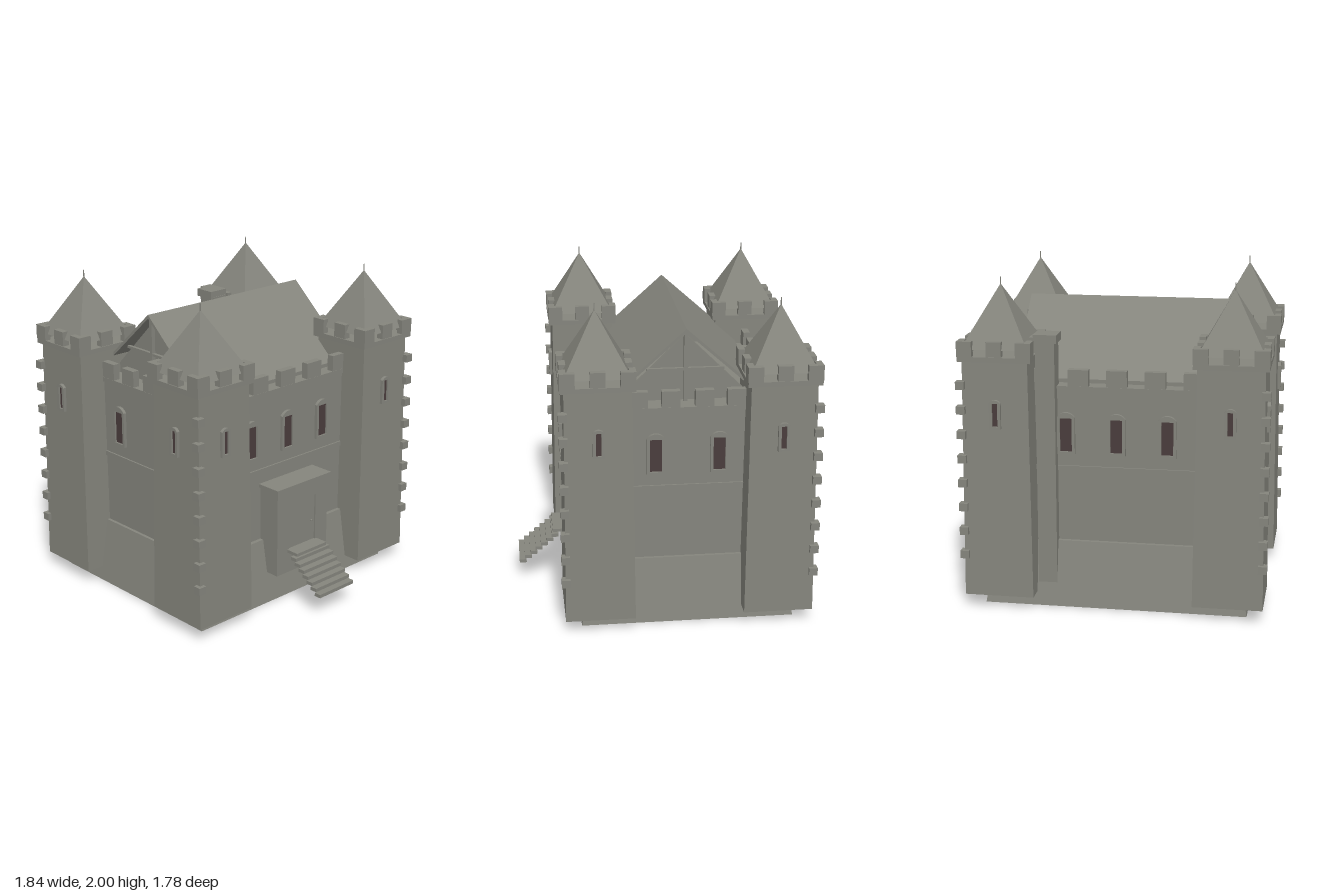
import * as THREE from 'three';

export function createModel() {
  const castle = new THREE.Group();
  castle.name = 'castle';
  const stone = new THREE.MeshStandardMaterial({ color: 0x85857d, flatShading: true });
  stone.name = 'stone';
  const glass = new THREE.MeshStandardMaterial({ color: 0x4a3d3d });
  glass.name = 'dark glass';

  const CZ = -0.12; // centre of the keep in z

  const add = (parent, name, geo, mat, x = 0, y = 0, z = 0) => {
    const m = new THREE.Mesh(geo, mat);
    m.name = name;
    m.position.set(x, y, z);
    parent.add(m);
    return m;
  };
  // box given by its bottom and top heights
  const block = (parent, name, w, y0, y1, d, x = 0, z = 0, mat = stone) =>
    add(parent, name, new THREE.BoxGeometry(w, y1 - y0, d), mat, x, (y0 + y1) / 2, z);
  // rectangular frustum from half sizes at the bottom and top
  const frustum = (parent, name, y0, bx, bz, y1, tx, tz, x = 0, z = 0) => {
    const g = new THREE.BoxGeometry(2, 1, 2);
    const p = g.attributes.position;
    for (let i = 0; i < p.count; i++) {
      const top = p.getY(i) > 0;
      p.setXYZ(i, p.getX(i) * (top ? tx : bx), top ? y1 : y0, p.getZ(i) * (top ? tz : bz));
    }
    g.computeVertexNormals();
    return add(parent, name, g, stone, x, 0, z);
  };
  const extrude = (shape, depth) =>
    new THREE.ExtrudeGeometry(shape, { depth, bevelEnabled: false, curveSegments: 8 });

  // arched stone frame around a dark pane, facing the given angle
  const windowAt = (parent, x, z, angle, y0, y1, w, paneW, paneY0, paneY1) => {
    const win = new THREE.Group();
    win.name = 'window';
    const h = w / 2, p = paneW / 2, spring = y1 - h * 0.55;
    const s = new THREE.Shape();
    s.moveTo(-h, y0);
    s.lineTo(h, y0);
    s.lineTo(h, spring);
    s.quadraticCurveTo(h * 0.6, y1, 0, y1);
    s.quadraticCurveTo(-h * 0.6, y1, -h, spring);
    const hole = new THREE.Path();
    hole.moveTo(-p, paneY0);
    hole.lineTo(-p, paneY1);
    hole.lineTo(p, paneY1);
    hole.lineTo(p, paneY0);
    s.holes.push(hole);
    add(win, 'windowFrame', extrude(s, 0.02), stone);
    block(win, 'windowPane', paneW, paneY0, paneY1, 0.009, 0, 0.004, glass);
    win.position.set(x, 0, z);
    win.rotation.y = angle;
    parent.add(win);
  };

  // battered plinth, walls and string courses
  frustum(castle, 'plinth', 0, 0.8, 0.65, 0.4, 0.73, 0.58, 0, CZ);
  block(castle, 'keepWalls', 1.42, 0.39, 1.34, 1.11, 0, CZ);
  block(castle, 'stringCourse', 1.44, 0.84, 0.87, 1.13, 0, CZ);
  block(castle, 'cornice', 1.44, 1.33, 1.36, 1.13, 0, CZ);

  // battlements
  for (const s of [-1, 1]) {
    for (let i = -2; i <= 2; i++)
      block(castle, 'merlon', 0.124, 1.36, 1.46, 0.045, i * 0.23, CZ + s * 0.541);
    for (const o of [-0.29, -0.1, 0.1, 0.29])
      block(castle, 'merlon', 0.045, 1.36, 1.46, 0.11, s * 0.696, CZ + o);
  }

  // keep windows
  for (const x of [-0.305, 0, 0.305]) {
    windowAt(castle, x, CZ + 0.555, 0, 0.945, 1.2, 0.108, 0.072, 0.96, 1.165);
    windowAt(castle, x, CZ - 0.555, Math.PI, 0.945, 1.2, 0.108, 0.072, 0.96, 1.165);
  }
  for (const s of [-1, 1])
    for (const o of [-0.19, 0.19])
      windowAt(castle, s * 0.71, CZ + o, s * Math.PI / 2, 0.945, 1.2, 0.108, 0.072, 0.96, 1.165);

  // pitched roof slab, open underneath
  const roof = new THREE.Shape();
  [[-0.475, 1.385], [0, 1.81], [0.475, 1.385], [0.475, 1.362], [0, 1.787], [-0.475, 1.362]]
    .forEach(([z, y], i) => (i ? roof.lineTo(z, y) : roof.moveTo(z, y)));
  const slab = extrude(roof, 1.26).translate(0, 0, -0.63).rotateY(Math.PI / 2);
  add(castle, 'roof', slab, stone, 0, 0, CZ);

  // gable ends with timber framing
  const gable = new THREE.Shape();
  gable.moveTo(-0.41, 1.36);
  gable.lineTo(0.41, 1.36);
  gable.lineTo(0, 1.765);
  const gableGeo = extrude(gable, 0.02).rotateY(Math.PI / 2);
  for (const s of [-1, 1]) {
    add(castle, 'gable', gableGeo, stone, s * 0.57 - 0.01, 0, CZ);
    block(castle, 'gablePost', 0.025, 1.36, 1.79, 0.022, s * 0.6, CZ);
    block(castle, 'gableBeam', 0.02, 1.55, 1.565, 0.46, s * 0.6, CZ);
  }

  // corner towers
  const SLOPE = (0.21 - 0.195) / 1.445;
  for (const sx of [-1, 1]) for (const sz of [-1, 1]) {
    const t = new THREE.Group();
    t.name = 'tower';
    t.position.set(sx * 0.69, 0, CZ + sz * 0.54);
    castle.add(t);
    frustum(t, 'towerShaft', 0.085, 0.21, 0.21, 1.53, 0.195, 0.195);
    block(t, 'towerLedge', 0.436, 1.53, 1.56, 0.436);
    for (const a of [-1, 1]) {
      block(t, 'towerMerlon', 0.09, 1.56, 1.65, 0.045, 0, a * 0.19);
      block(t, 'towerMerlon', 0.045, 1.56, 1.65, 0.09, a * 0.19, 0);
      // L-shaped corner merlons
      for (const b of [-1, 1]) {
        block(t, 'cornerMerlon', 0.09, 1.56, 1.65, 0.04, a * 0.175, b * 0.2);
        block(t, 'cornerMerlon', 0.04, 1.56, 1.65, 0.05, a * 0.2, b * 0.155);
      }
    }
    const spire = new THREE.ConeGeometry(0.2 * Math.SQRT2, 0.36, 4).rotateY(Math.PI / 4);
    add(t, 'towerRoof', spire, stone, 0, 1.78, 0);
    add(t, 'spike', new THREE.CylinderGeometry(0.003, 0.004, 0.06, 6), stone, 0, 1.97, 0);
    // quoins up the outer corner
    for (let i = 0; i < 8; i++) {
      const y = 0.345 + i * 0.149;
      block(t, 'quoin', 0.052, y - 0.024, y + 0.024, 0.052, sx * 0.204, sz * 0.204);
    }
    // slit windows on the outer faces
    const face = 0.21 - SLOPE * 1.12;
    windowAt(t, 0, sz * face, sz > 0 ? 0 : Math.PI, 1.13, 1.305, 0.068, 0.032, 1.145, 1.285);
    windowAt(t, sx * face, 0, sx * Math.PI / 2, 1.13, 1.305, 0.068, 0.032, 1.145, 1.285);
  }

  // chimney against the back wall
  block(castle, 'chimney', 0.115, 0.13, 1.64, 0.12, 0.415, -0.685);
  block(castle, 'chimneyCap', 0.14, 1.63, 1.68, 0.135, 0.41, -0.697);

  // porch with a doorway
  const porch = new THREE.Shape();
  porch.moveTo(-0.22, 0.19);
  porch.lineTo(0.22, 0.19);
  porch.lineTo(0.22, 0.755);
  porch.lineTo(-0.22, 0.755);
  const doorway = new THREE.Path();
  doorway.moveTo(-0.115, 0.33);
  doorway.lineTo(-0.115, 0.65);
  doorway.lineTo(0.115, 0.65);
  doorway.lineTo(0.115, 0.33);
  porch.holes.push(doorway);
  add(castle, 'porch', extrude(porch, 0.165), stone, 0, 0, 0.42);
  block(castle, 'porchRoof', 0.47, 0.75, 0.772, 0.19, 0, 0.505);
  block(castle, 'door', 0.23, 0.33, 0.65, 0.03, 0, 0.56);
  add(castle, 'doorKnob', new THREE.SphereGeometry(0.007, 8, 6), stone, 0.085, 0.48, 0.58);

  // landing and open stairs
  block(castle, 'landing', 0.26, 0.325, 0.345, 0.11, 0, 0.615);
  for (let i = 0; i < 7; i++) {
    const y = 0.128 + i * 0.0285;
    block(castle, 'step', 0.3, y, y + 0.022, 0.045, 0, 0.867 - i * 0.035);
  }
  return castle;
}
